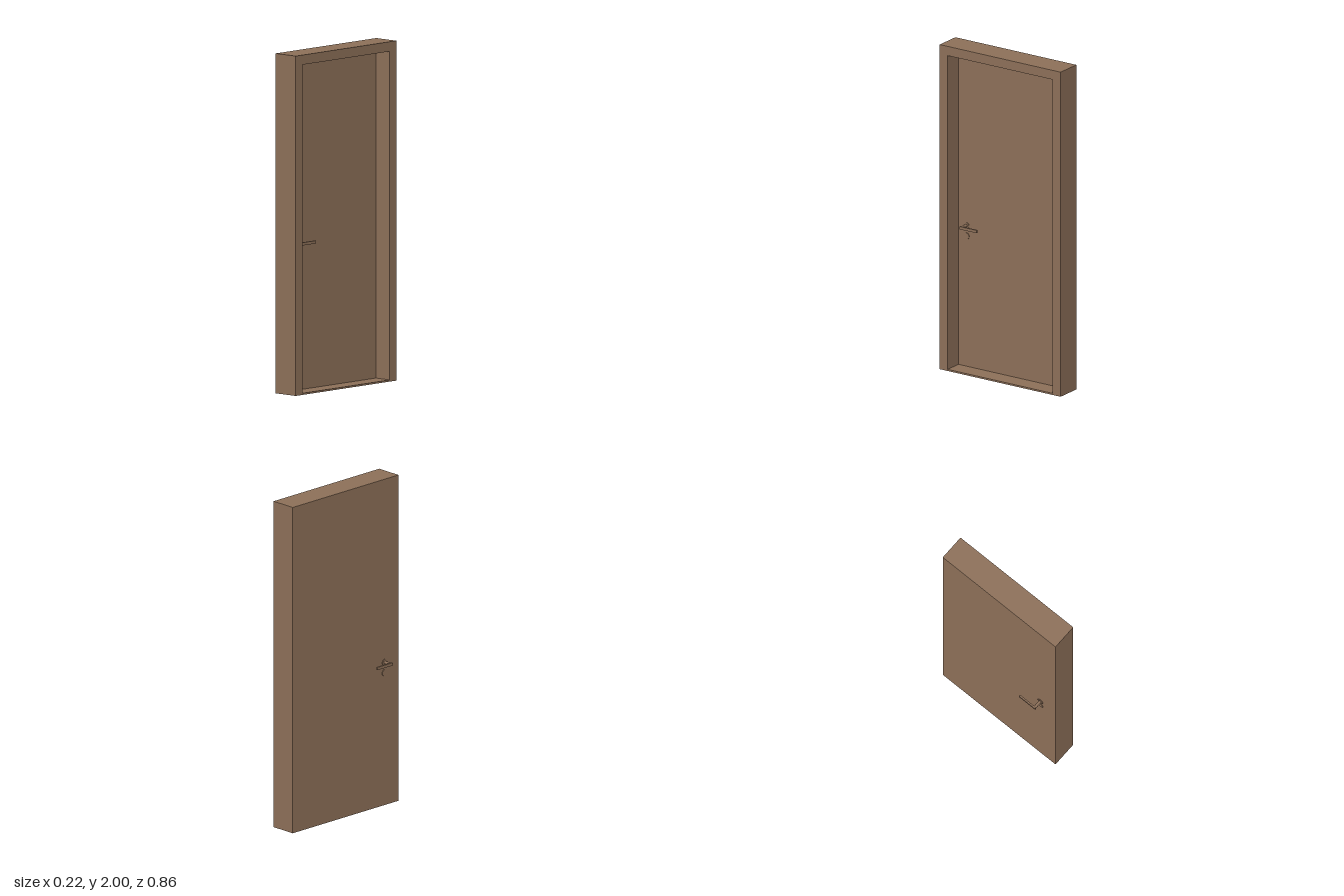
import * as THREE from 'three';

const W = 0.86, H = 2;            // outer frame, along z and y
const X0 = -0.05, X1 = 0.11;      // closed side and recessed side
const FACE = 0;                   // panel face inside the recess
const OPEN = { half: 0.373, bottom: 0.01, top: 1.943 };
const HANDLE_Z = 0.316;

export function createModel() {
  const door = new THREE.Group();
  door.name = 'door';
  const material = new THREE.MeshStandardMaterial({ color: 0x8c6f58 });

  const add = (parent, name, geometry, x = 0, y = 0, z = 0) => {
    const mesh = new THREE.Mesh(geometry, material);
    mesh.name = name;
    mesh.position.set(x, y, z);
    parent.add(mesh);
    return mesh;
  };

  const rectangle = (Type, half, bottom, top) => new Type([
    new THREE.Vector2(-half, bottom), new THREE.Vector2(half, bottom),
    new THREE.Vector2(half, top), new THREE.Vector2(-half, top),
  ]);

  // Frame with its opening, extruded along x
  const outline = rectangle(THREE.Shape, W / 2, 0, H);
  outline.holes.push(rectangle(THREE.Path, OPEN.half, OPEN.bottom, OPEN.top));
  const frame = new THREE.ExtrudeGeometry(outline, { depth: X1 - X0, bevelEnabled: false });
  frame.rotateY(Math.PI / 2);
  add(door, 'frame', frame, X0);

  // Door leaf, flush with the closed side
  add(door, 'leaf',
    new THREE.BoxGeometry(FACE - X0, OPEN.top - OPEN.bottom, OPEN.half * 2),
    (X0 + FACE) / 2, (OPEN.top + OPEN.bottom) / 2, 0);

  // Disc or rod lying along x, starting at the leaf face
  const rod = (radius, length, sides) =>
    new THREE.CylinderGeometry(radius, radius, length, sides).rotateZ(Math.PI / 2);

  // Matching handle set on each face of the leaf
  for (const [name, face, dir] of [['innerHandle', FACE, 1], ['outerHandle', X0, -1]]) {
    const handle = new THREE.Group();
    handle.name = name;
    handle.position.set(face, 0, HANDLE_Z);
    door.add(handle);
    add(handle, 'rosette', rod(0.019, 0.004, 32), dir * 0.002, 0.877, 0);
    add(handle, 'keyRosette', rod(0.02, 0.004, 32), dir * 0.002, 0.813, 0);
    add(handle, 'stem', rod(0.0085, 0.052, 24), dir * 0.026, 0.877, 0);
    add(handle, 'lever', new THREE.BoxGeometry(0.01, 0.017, 0.123), dir * 0.055, 0.877, -0.052);
  }

  return door;
}
